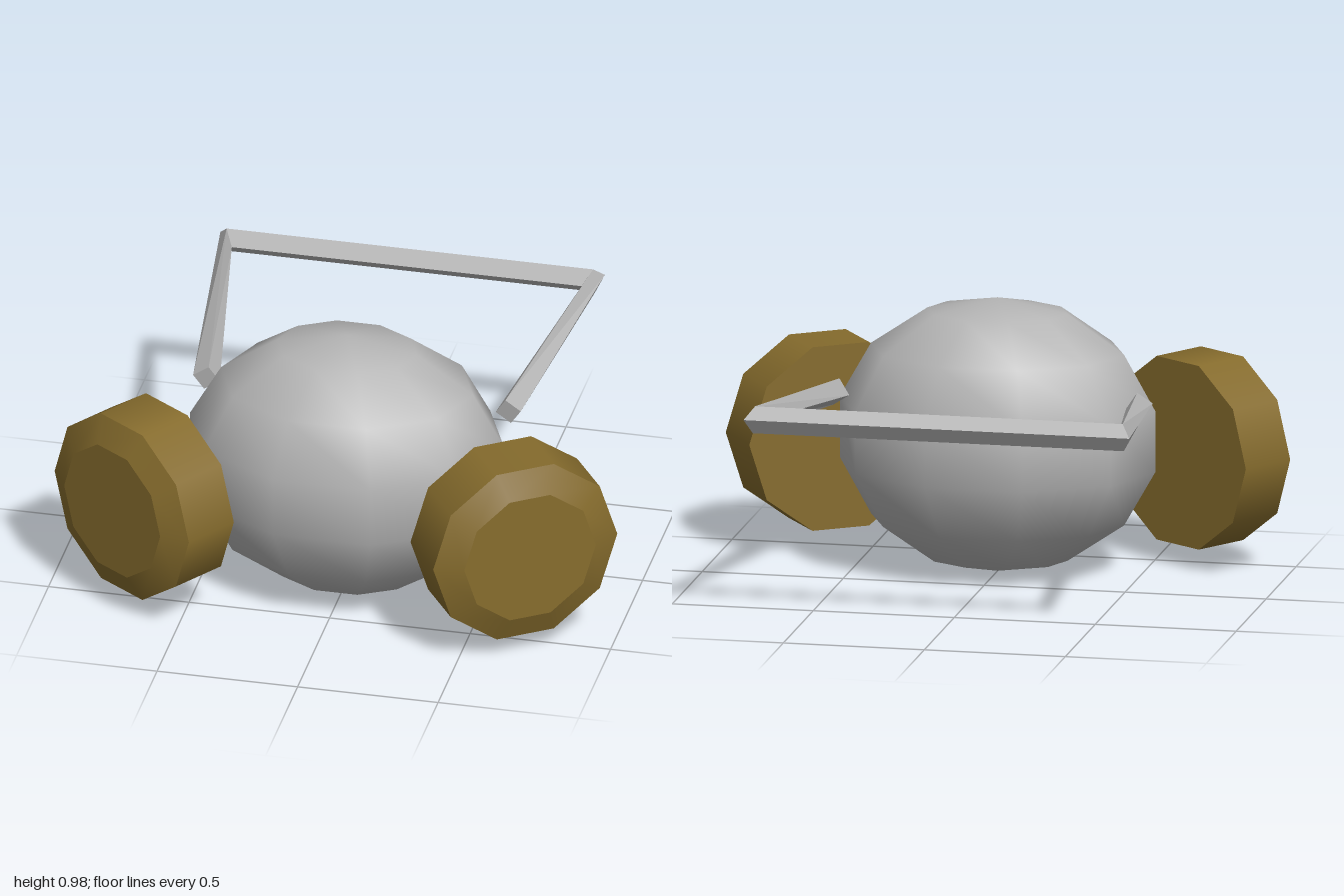
import * as THREE from 'three';

const grey = new THREE.MeshStandardMaterial({ color: 0xb4b4b4 });
grey.name = 'grey';
const ochre = new THREE.MeshStandardMaterial({ color: 0x866c2d });
ochre.name = 'ochre';

function addMesh(parent, name, geometry, material) {
  const mesh = new THREE.Mesh(geometry, material);
  mesh.name = name;
  parent.add(mesh);
  return mesh;
}

// Ten-sided drum along +z: flat back, smooth rim, bevelled front
function createWheel(name) {
  const wheel = new THREE.Group();
  wheel.name = name;
  const R = 0.344, r = 0.246, depth = 0.212, bevel = 0.045, sides = 10;
  const ring = (front, back, z0, z1) =>
    new THREE.CylinderGeometry(front, back, z1 - z0, sides, 1, true, Math.PI / 2)
      .rotateX(Math.PI / 2).translate(0, 0, (z0 + z1) / 2);
  addMesh(wheel, name + 'Rim', ring(R, R, 0, depth), ochre);
  addMesh(wheel, name + 'Bevel', ring(r, R, depth, depth + bevel), ochre);
  addMesh(wheel, name + 'Front', new THREE.CircleGeometry(r, sides).translate(0, 0, depth + bevel), ochre);
  addMesh(wheel, name + 'Back', new THREE.CircleGeometry(R, sides).rotateY(Math.PI), ochre);
  return wheel;
}

// Diamond-section bar swept through four sections, mitred at the two rear corners
function createHandleGeometry() {
  const half = [
    { c: [0.537, 0.655, 0.066], out: [0.046, 0.01, 0.006], up: [-0.009, 0.046, 0.004] },
    { c: [0.655, 0.738, -0.761], out: [0.029, 0.006, -0.038], up: [-0.003, 0.047, 0.005] },
  ];
  const mirror = ([x, y, z]) => [-x, y, z];
  const sections = [
    ...half,
    ...half.slice().reverse().map(s => ({ c: mirror(s.c), out: mirror(s.out), up: mirror(s.up) })),
  ];
  const positions = [], index = [];
  for (const { c, out, up } of sections) {
    for (const [o, u] of [[0, 1], [1, 0], [0, -1], [-1, 0]]) {
      for (let i = 0; i < 3; i++) positions.push(c[i] + o * out[i] + u * up[i]);
    }
  }
  for (let s = 0; s < 3; s++) {
    for (let k = 0; k < 4; k++) {
      const a = s * 4 + k, b = s * 4 + (k + 1) % 4;
      index.push(a, b, b + 4, a, b + 4, a + 4);
    }
  }
  index.push(0, 2, 1, 0, 3, 2, 12, 13, 14, 12, 14, 15); // end caps
  const geometry = new THREE.BufferGeometry();
  geometry.setAttribute('position', new THREE.Float32BufferAttribute(positions, 3));
  geometry.setIndex(index);
  const flat = geometry.toNonIndexed();
  flat.computeVertexNormals();
  return flat;
}

export function createModel() {
  const model = new THREE.Group();
  model.name = 'model';

  // Smooth low-poly ellipsoid body
  const body = new THREE.SphereGeometry(1, 10, 7).scale(0.574, 0.4875, 0.431);
  addMesh(model, 'body', body, grey).position.set(0, 0.4925, 0.225);

  // Two drums angled outward at the front
  for (const side of [1, -1]) {
    const wheel = createWheel(side > 0 ? 'leftWheel' : 'rightWheel');
    wheel.position.set(side * 0.5975, 0.41, 0.42);
    wheel.rotation.y = side * 0.604;
    model.add(wheel);
  }

  // Rear handle
  addMesh(model, 'handle', createHandleGeometry(), grey);
  return model;
}
